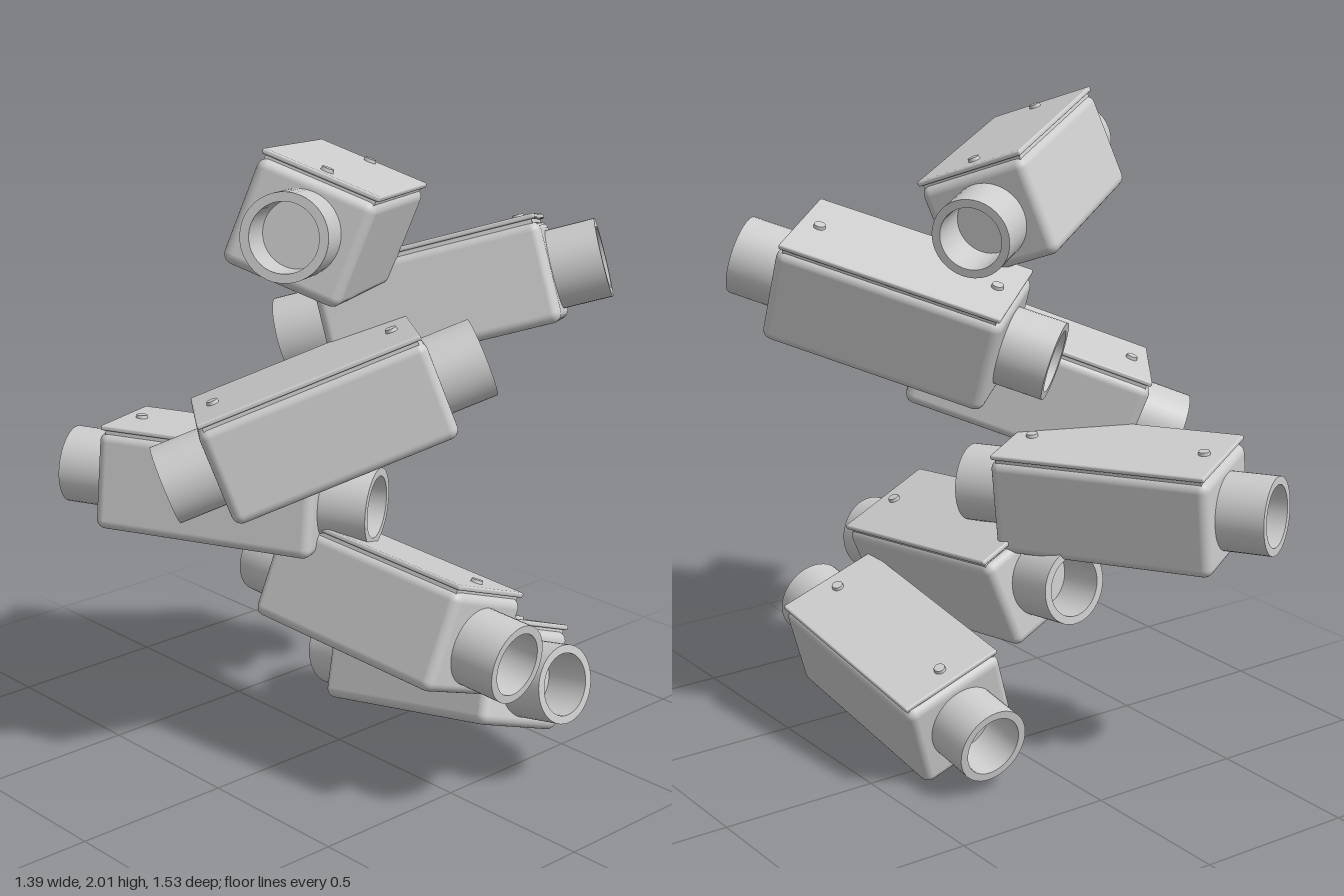
import * as THREE from 'three';
import { RoundedBoxGeometry } from 'three/addons/geometries/RoundedBoxGeometry.js';

const grey = new THREE.MeshStandardMaterial({ color: 0xcccccc });
grey.name = 'light grey';

// Shared geometries; each housing lies along its own z with the lid on +y
const bodyGeo = new RoundedBoxGeometry(0.35, 0.305, 0.7, 4, 0.03);
const seamGeo = new THREE.BoxGeometry(0.325, 0.02, 0.66);
const lidGeo = new RoundedBoxGeometry(0.347, 0.016, 0.685, 2, 0.006);
const pinGeo = new THREE.CylinderGeometry(0.017, 0.019, 0.012, 20);

// Hollow collar with a flat floor; doubled points keep the rims sharp
const collarProfile = [
  [0.12, 0.33], [0.12, 0.5], [0.12, 0.5], [0.095, 0.5],
  [0.095, 0.5], [0.095, 0.354], [0.095, 0.354], [0, 0.354],
].map(([r, y]) => new THREE.Vector2(r, y));
const collarGeo = new THREE.LatheGeometry(collarProfile, 40).rotateX(Math.PI / 2);

function part(parent, name, geometry, x = 0, y = 0, z = 0) {
  const mesh = new THREE.Mesh(geometry, grey);
  mesh.name = name;
  mesh.position.set(x, y, z);
  parent.add(mesh);
  return mesh;
}

// One housing spanning two collar rims, with its lid turned towards "up"
function housing(name, back, front, up) {
  const a = new THREE.Vector3(...back);
  const b = new THREE.Vector3(...front);
  const zAxis = b.clone().sub(a).normalize();
  const xAxis = new THREE.Vector3(...up).cross(zAxis).normalize();
  const yAxis = zAxis.clone().cross(xAxis);

  const group = new THREE.Group();
  group.name = name;
  group.quaternion.setFromRotationMatrix(new THREE.Matrix4().makeBasis(xAxis, yAxis, zAxis));
  group.position.copy(a).add(b).multiplyScalar(0.5);

  part(group, 'body', bodyGeo);
  part(group, 'lidSeam', seamGeo, 0, 0.153, 0);
  part(group, 'lid', lidGeo, 0, 0.167, 0);
  for (const side of [-1, 1]) {
    part(group, 'lidPin', pinGeo, 0, 0.179, side * 0.28);
    const collar = part(group, side > 0 ? 'frontCollar' : 'backCollar', collarGeo);
    if (side < 0) collar.rotation.y = Math.PI;
  }
  return group;
}

export function createModel() {
  const model = new THREE.Group();
  model.name = 'stackedHousings';

  // name, back rim centre, front rim centre, lid direction; bottom to top
  const stack = [
    ['housing1', [0.24, 0.155, -0.285], [0.277, 0.338, 0.705], [0.34, 0.92, -0.18]],
    ['housing2', [-0.09, 0.585, -0.245], [0.013, 0.495, 0.75], [0.37, 0.93, 0.05]],
    ['housing3', [-0.48, 0.86, -0.705], [0.0, 0.828, 0.165], [0.11, 0.99, -0.03]],
    ['housing4', [-0.57, 0.966, -0.11], [0.178, 1.308, 0.405], [-0.24, 0.94, -0.25]],
    ['housing5', [-0.04, 1.29, -0.218], [0.605, 1.568, 0.52], [0, 0.94, -0.34]],
    ['housing6', [0.18, 1.667, -0.09], [-0.622, 1.805, 0.468], [0.3, 0.925, 0.204]],
  ];
  for (const spec of stack) model.add(housing(...spec));
  return model;
}
